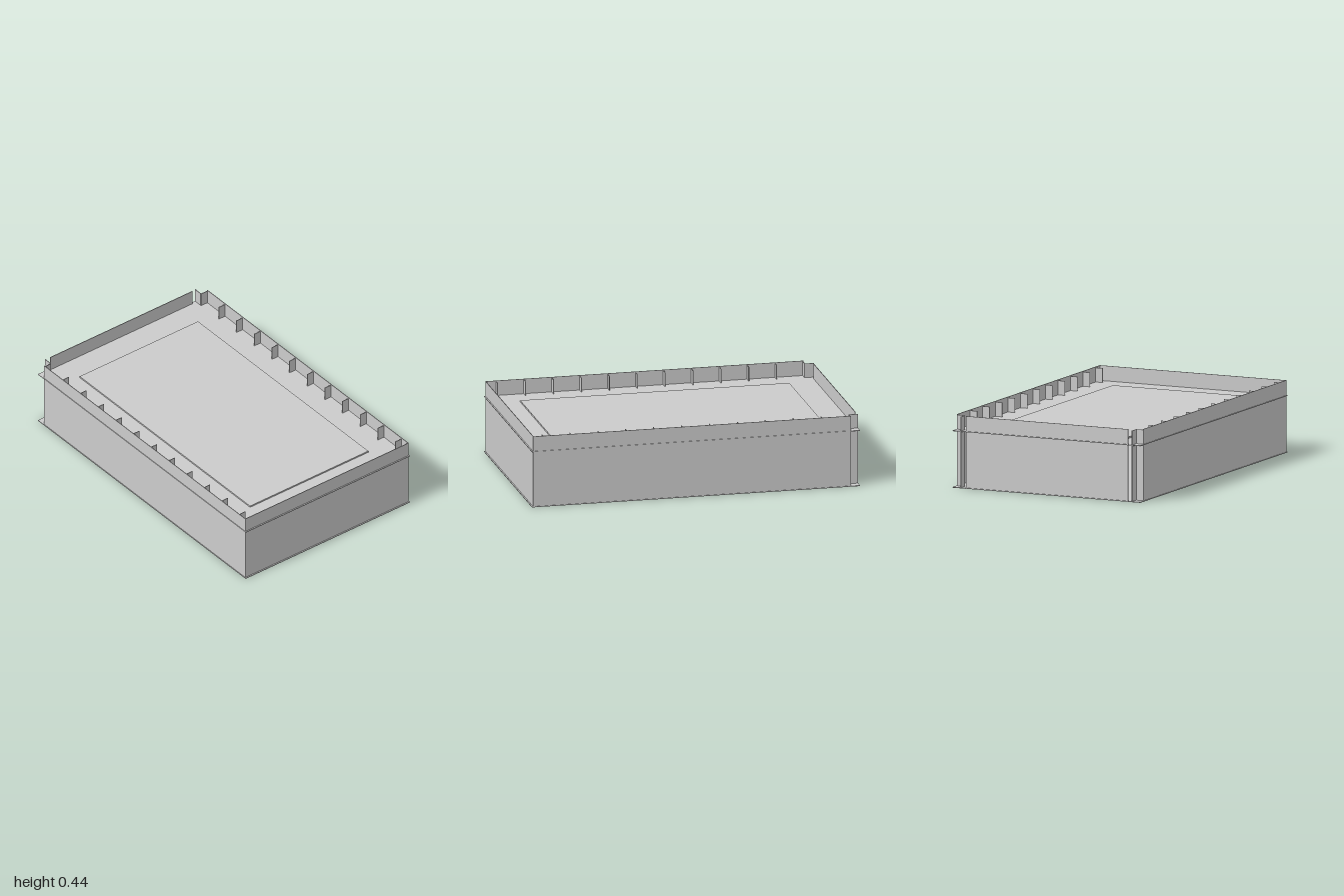
import * as THREE from 'three';

const material = new THREE.MeshStandardMaterial({ color: 0xcccccc, flatShading: true });
const T = 0.004;      // sheet thickness
const HX = 0.615;     // half width over the side walls
const H = 0.435;      // wall height
const FRONT = 0.992;  // front wall plane
const NOTCH_Z = -0.945; // where the side walls stop at the back
const NOTCH_X = 0.565;  // inner edge of gussets and corner returns
const DECK = 0.34;

// Box given by its min and max corners
function slab(name, x0, x1, y0, y1, z0, z1) {
  const g = new THREE.BoxGeometry(x1 - x0, y1 - y0, z1 - z0);
  const m = new THREE.Mesh(g, material);
  m.position.set((x0 + x1) / 2, (y0 + y1) / 2, (z0 + z1) / 2);
  m.name = name;
  return m;
}

export function createModel() {
  const root = new THREE.Group();
  root.name = 'sheetMetalTray';

  // Horizontal plates, reaching out to the notched corners
  root.add(slab('bottomPlate', -HX - 0.004, HX + 0.004, 0, T, -1, 1));
  root.add(slab('deckPlate', -HX - 0.004, HX + 0.004, DECK, DECK + T, -1, 1));
  root.add(slab('raisedPanel', -0.445, 0.445, DECK + T, 0.353, -0.82, 0.82));

  // Front and back walls
  root.add(slab('frontWall', -HX, HX, T, H, FRONT - T, FRONT));
  root.add(slab('backWall', -0.535, 0.535, T, H, -0.992, -0.992 + T));

  // Both long sides
  for (const s of [-1, 1]) {
    const side = new THREE.Group();
    side.name = s > 0 ? 'leftSide' : 'rightSide';
    const strip = (name, a, b, ...rest) =>
      side.add(slab(name, Math.min(s * a, s * b), Math.max(s * a, s * b), ...rest));

    strip('sideWall', HX - T, HX, T, H, NOTCH_Z, FRONT - T);

    // Folded corner at the back: a flange inward, then a return backward
    strip('cornerFlange', NOTCH_X, HX - T, T, 0.43, NOTCH_Z, NOTCH_Z + T);
    strip('cornerReturn', NOTCH_X - T / 2, NOTCH_X + T / 2, T, 0.43, -1, NOTCH_Z);

    // Small gussets between the deck and the rim
    for (let i = 1; i < 12; i++) {
      const z = NOTCH_Z + i * 0.17;
      strip('gusset', NOTCH_X, HX - T, DECK + T, 0.43, z, z + T);
    }
    root.add(side);
  }
  return root;
}
